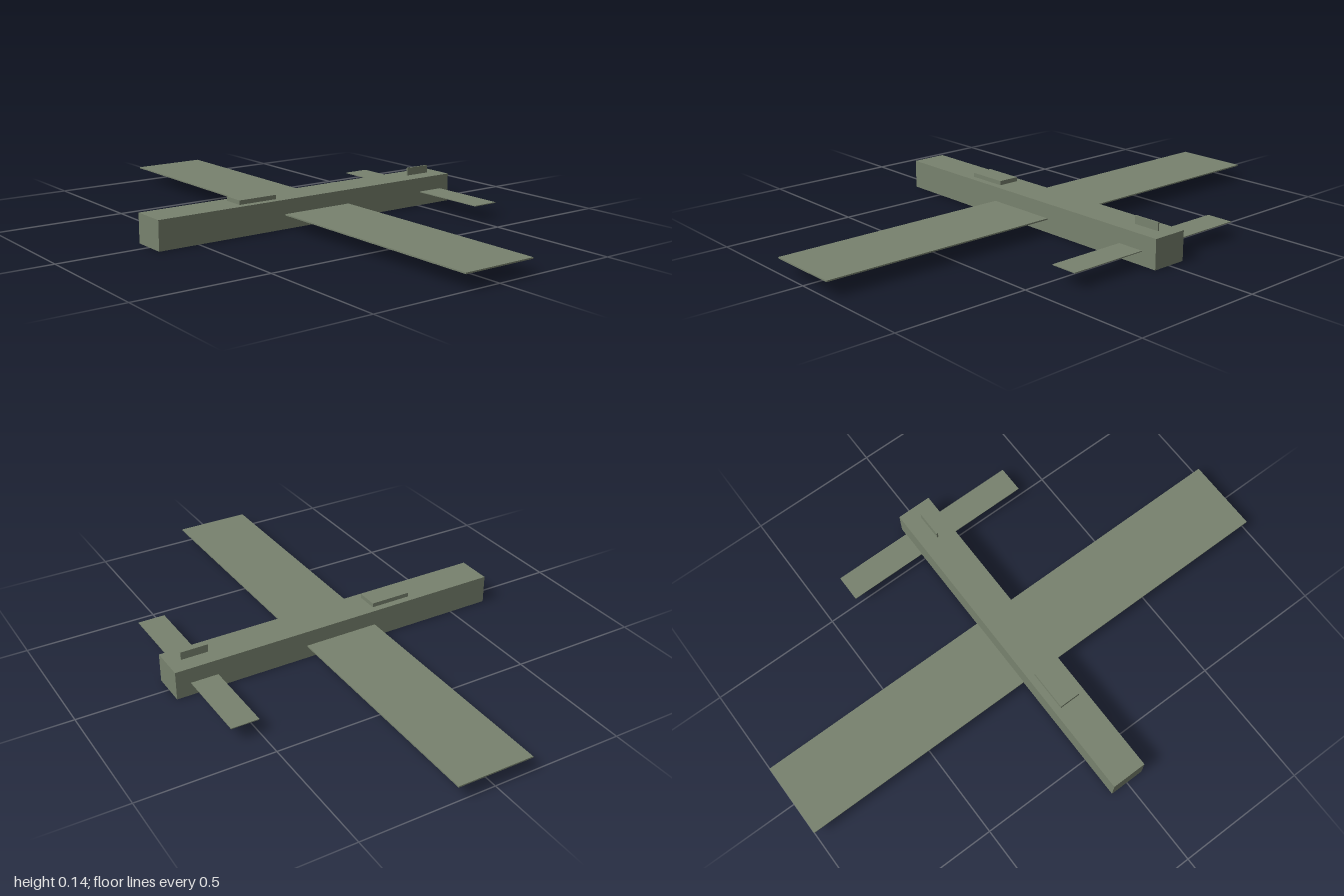
import * as THREE from 'three';

export function createModel() {
  const model = new THREE.Group();
  const material = new THREE.MeshStandardMaterial({ color: 0x78826e, flatShading: true });

  // Box given by its extents along each axis
  function addBox(name, [x0, x1], [y0, y1], [z0, z1]) {
    const geometry = new THREE.BoxGeometry(x1 - x0, y1 - y0, z1 - z0);
    const mesh = new THREE.Mesh(geometry, material);
    mesh.name = name;
    mesh.position.set((x0 + x1) / 2, (y0 + y1) / 2, (z0 + z1) / 2);
    model.add(mesh);
  }

  // Body with the raised hatch and the tail fin on its top
  const top = 0.109;
  addBox('fuselage', [-0.068, 0.068], [0, top], [-0.656, 0.656]);
  addBox('hatch', [-0.041, 0.041], [top, 0.125], [0.158, 0.315]);
  addBox('tailFin', [-0.003, 0.003], [top, 0.139], [-0.604, -0.5]);

  // Thin wings and tailplanes, set just clear of the body sides
  const root = 0.078;
  for (const [side, s] of [['left', 1], ['right', -1]]) {
    const span = (tip) => (s > 0 ? [root, tip] : [-tip, -root]);
    addBox(side + 'Wing', span(1), [0.0535, 0.0585], [-0.144, 0.144]);
    addBox(side + 'Tailplane', span(0.384), [0.0545, 0.0575], [-0.604, -0.5]);
  }

  return model;
}
